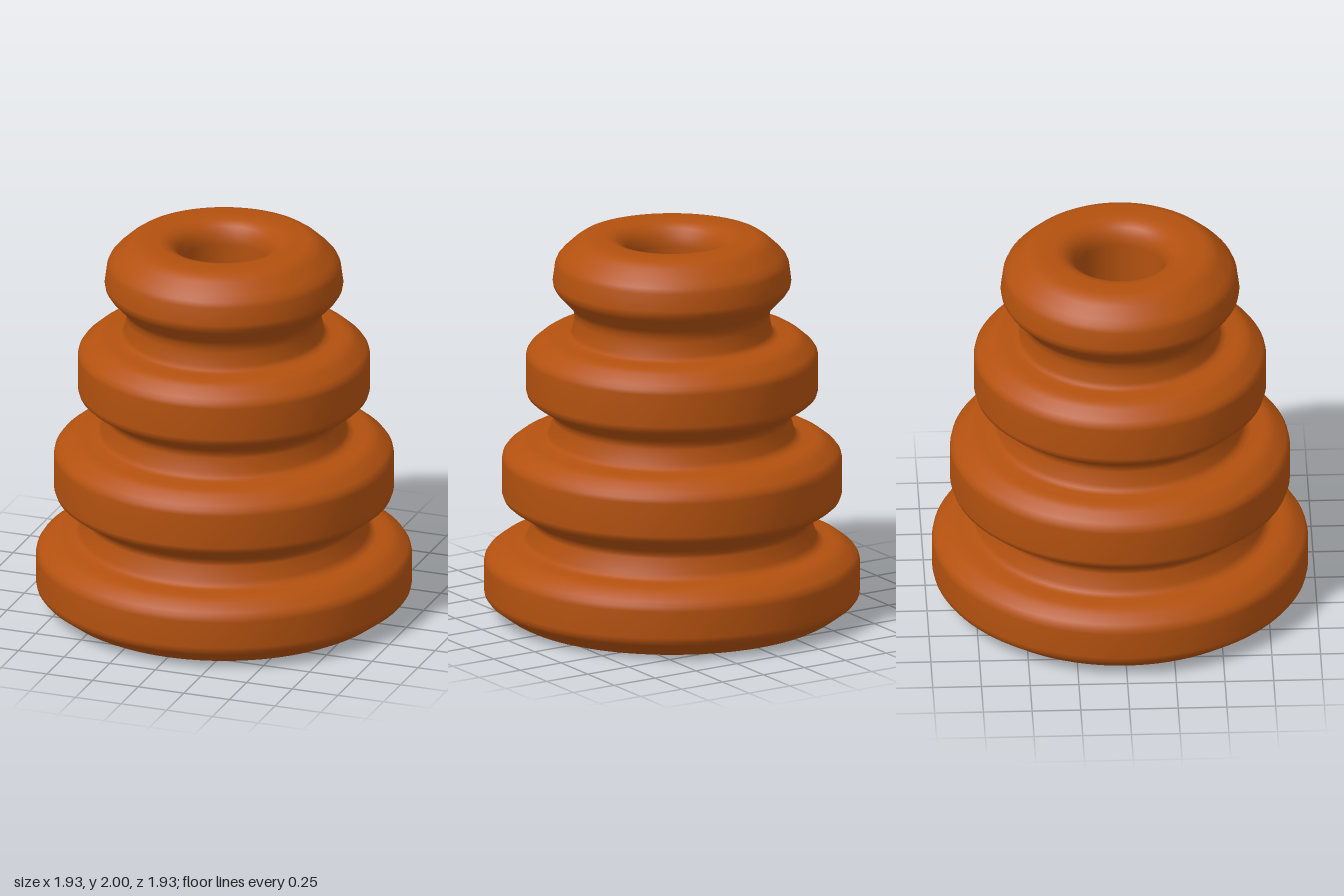
import * as THREE from 'three';

export function createModel() {
  const group = new THREE.Group();
  group.name = 'ribbedBumper';
  const rubber = new THREE.MeshStandardMaterial({ color: 0xb3510f });
  rubber.name = 'burnt orange rubber';

  // Closed section [radius, height]: underside, ribs and necks, rim, then the bore
  const underside = [[0.23, 0.1], [0.245, 0.05], [0.275, 0.015], [0.31, 0], [0.34, 0], [0.78, 0]];
  const baseRib = [[0.825, 0.004], [0.86, 0.022], [0.945, 0.085], [0.96, 0.105], [0.965, 0.13],
    [0.965, 0.27], [0.96, 0.295], [0.945, 0.318], [0.9, 0.352], [0.865, 0.37], [0.82, 0.376]];
  const lowerNeck = [[0.78, 0.377], [0.757, 0.388], [0.742, 0.41], [0.718, 0.485], [0.718, 0.505], [0.735, 0.53]];
  const lowerRib = [[0.84, 0.598], [0.862, 0.617], [0.872, 0.645], [0.872, 0.82], [0.867, 0.845],
    [0.85, 0.868], [0.8, 0.907], [0.77, 0.923], [0.735, 0.928]];
  const middleNeck = [[0.67, 0.93], [0.644, 0.94], [0.63, 0.962], [0.61, 1.035], [0.612, 1.06], [0.628, 1.085]];
  const upperRib = [[0.722, 1.148], [0.742, 1.167], [0.75, 1.195], [0.75, 1.365], [0.745, 1.388],
    [0.73, 1.41], [0.68, 1.453], [0.65, 1.472], [0.61, 1.477]];
  const upperNeck = [[0.55, 1.478], [0.526, 1.485], [0.512, 1.505], [0.501, 1.575], [0.503, 1.61], [0.52, 1.64]];
  const topRib = [[0.59, 1.715], [0.607, 1.742], [0.612, 1.77], [0.6, 1.86], [0.588, 1.888],
    [0.565, 1.915], [0.51, 1.966], [0.475, 1.99], [0.435, 2]];
  const bore = [[0.34, 2], [0.3, 1.992], [0.262, 1.97], [0.238, 1.93], [0.23, 1.88], [0.23, 1], [0.23, 0.1]];

  const profile = [underside, baseRib, lowerNeck, lowerRib, middleNeck, upperRib, upperNeck, topRib, bore]
    .flat().map(([r, y]) => new THREE.Vector2(r, y));

  const body = new THREE.Mesh(new THREE.LatheGeometry(profile, 96), rubber);
  body.name = 'ribbedBody';
  group.add(body);
  return group;
}
